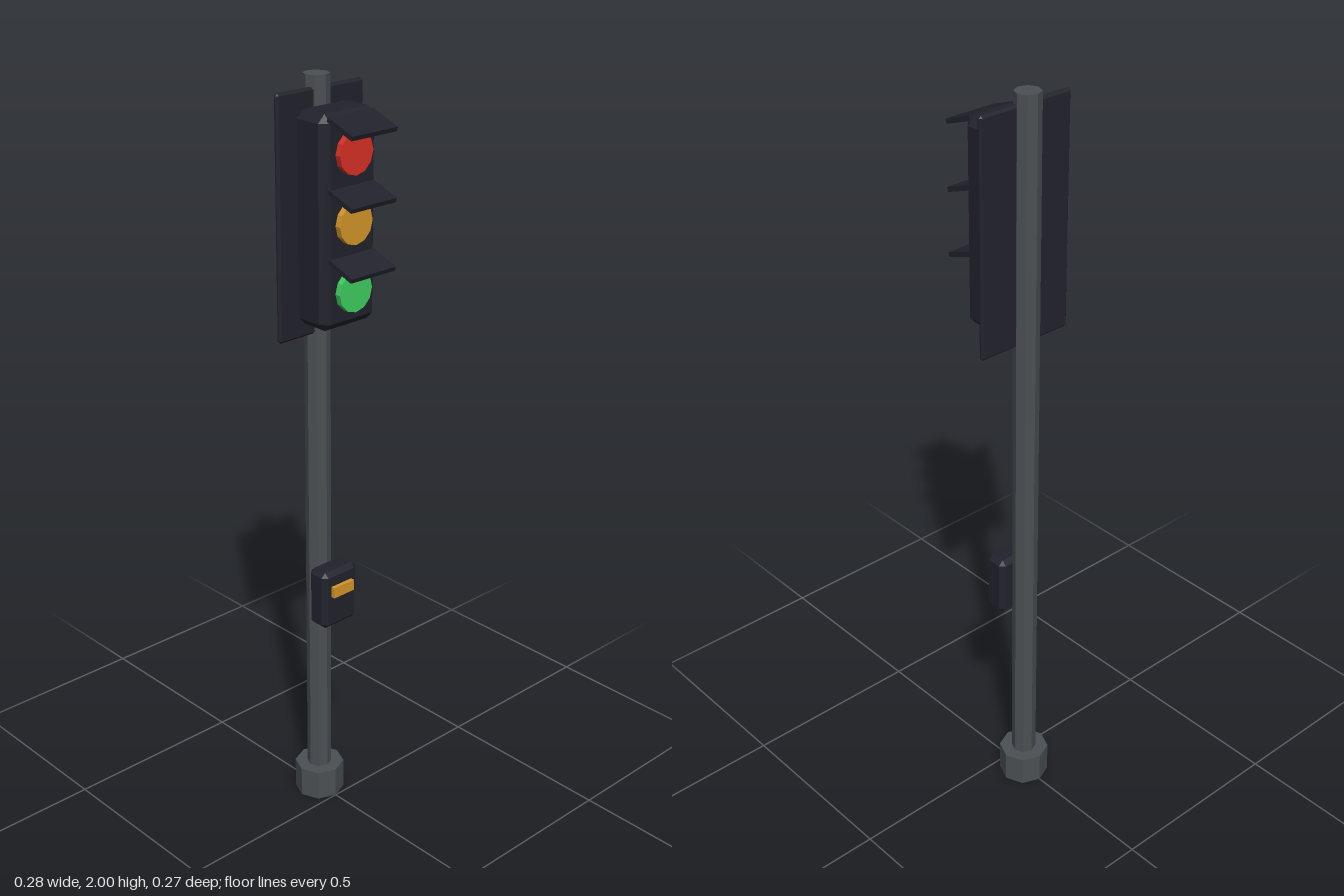
import * as THREE from 'three';
import { ConvexGeometry } from 'three/addons/geometries/ConvexGeometry.js';

const POLE_Z = -0.067;

// Box with a single flat chamfer of size c along every edge
function chamferBox(w, h, d, c) {
  const half = [w / 2, h / 2, d / 2];
  const points = [];
  for (const sx of [-1, 1]) for (const sy of [-1, 1]) for (const sz of [-1, 1]) {
    for (let axis = 0; axis < 3; axis++) {
      const [x, y, z] = half.map((v, i) => (i === axis ? v : v - c));
      points.push(new THREE.Vector3(sx * x, sy * y, sz * z));
    }
  }
  return new ConvexGeometry(points);
}

export function createModel() {
  const group = new THREE.Group();
  const material = (name, color) => {
    const m = new THREE.MeshStandardMaterial({ color, flatShading: true });
    m.name = name;
    return m;
  };
  const steel = material('grey steel', 0x4b5054);
  const dark = material('dark casing', 0x21222c);
  const red = material('red lens', 0xd93025);
  const amber = material('amber lens', 0xd6962a);
  const green = material('green lens', 0x3fce60);

  const add = (name, geometry, mat, x, y, z) => {
    const mesh = new THREE.Mesh(geometry, mat);
    mesh.name = name;
    mesh.position.set(x, y, z);
    group.add(mesh);
    return mesh;
  };

  // Post and foot
  add('pole', new THREE.CylinderGeometry(0.033, 0.033, 2, 8), steel, 0, 1, POLE_Z);
  add('poleBase', new THREE.CylinderGeometry(0.067, 0.067, 0.085, 8), steel, 0, 0.0425, POLE_Z);

  // Signal head
  add('backPlate', chamferBox(0.276, 0.608, 0.016, 0.006), dark, 0, 1.668, -0.057);
  add('signalHousing', chamferBox(0.178, 0.525, 0.112, 0.02), dark, 0, 1.668, 0);

  // Three lenses, each under a sloping visor
  const lensGeometry = new THREE.CylinderGeometry(0.053, 0.053, 0.03, 12).rotateX(Math.PI / 2);
  const visorGeometry = new THREE.BoxGeometry(0.144, 0.012, 0.088);
  [['red', red], ['amber', amber], ['green', green]].forEach(([name, mat], i) => {
    const y = 1.835 - i * 0.168;
    add(name + 'Lens', lensGeometry, mat, 0, y, 0.057);
    add(name + 'Visor', visorGeometry, dark, 0, y + 0.07, 0.09).rotation.x = 0.35;
  });

  // Pedestrian push-button box
  add('buttonBox', chamferBox(0.118, 0.165, 0.066, 0.013), dark, 0, 0.643, -0.011);
  add('buttonPanel', new THREE.BoxGeometry(0.07, 0.03, 0.014), amber, 0, 0.67, 0.026);

  return group;
}
